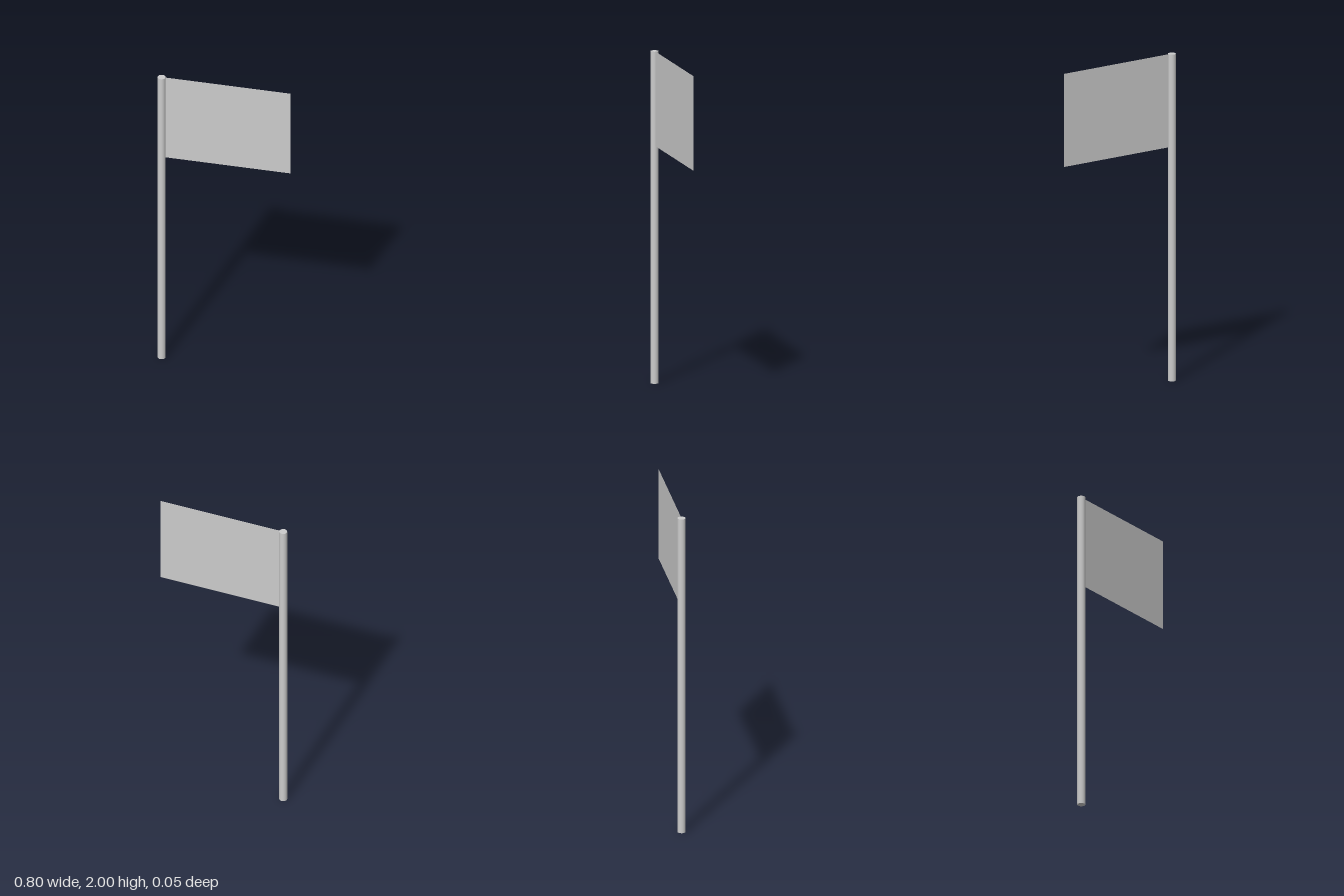
import * as THREE from 'three';

export function createModel() {
  const group = new THREE.Group();
  const poleX = -0.378, radius = 0.024, height = 2;
  const flagEnd = 0.402, flagHeight = 0.57;

  // Round pole, capped at both ends
  const pole = new THREE.Mesh(
    new THREE.CylinderGeometry(radius, radius, height, 32),
    new THREE.MeshStandardMaterial({ color: 0xcccccc })
  );
  pole.name = 'pole';
  pole.position.set(poleX, height / 2, 0);
  group.add(pole);

  // Flat flag, a single sheet running out from the pole's axis
  const flag = new THREE.Mesh(
    new THREE.PlaneGeometry(flagEnd - poleX, flagHeight),
    new THREE.MeshStandardMaterial({ color: 0xcccccc, side: THREE.DoubleSide })
  );
  flag.name = 'flag';
  flag.position.set((flagEnd + poleX) / 2, height - flagHeight / 2, 0);
  group.add(flag);

  return group;
}
